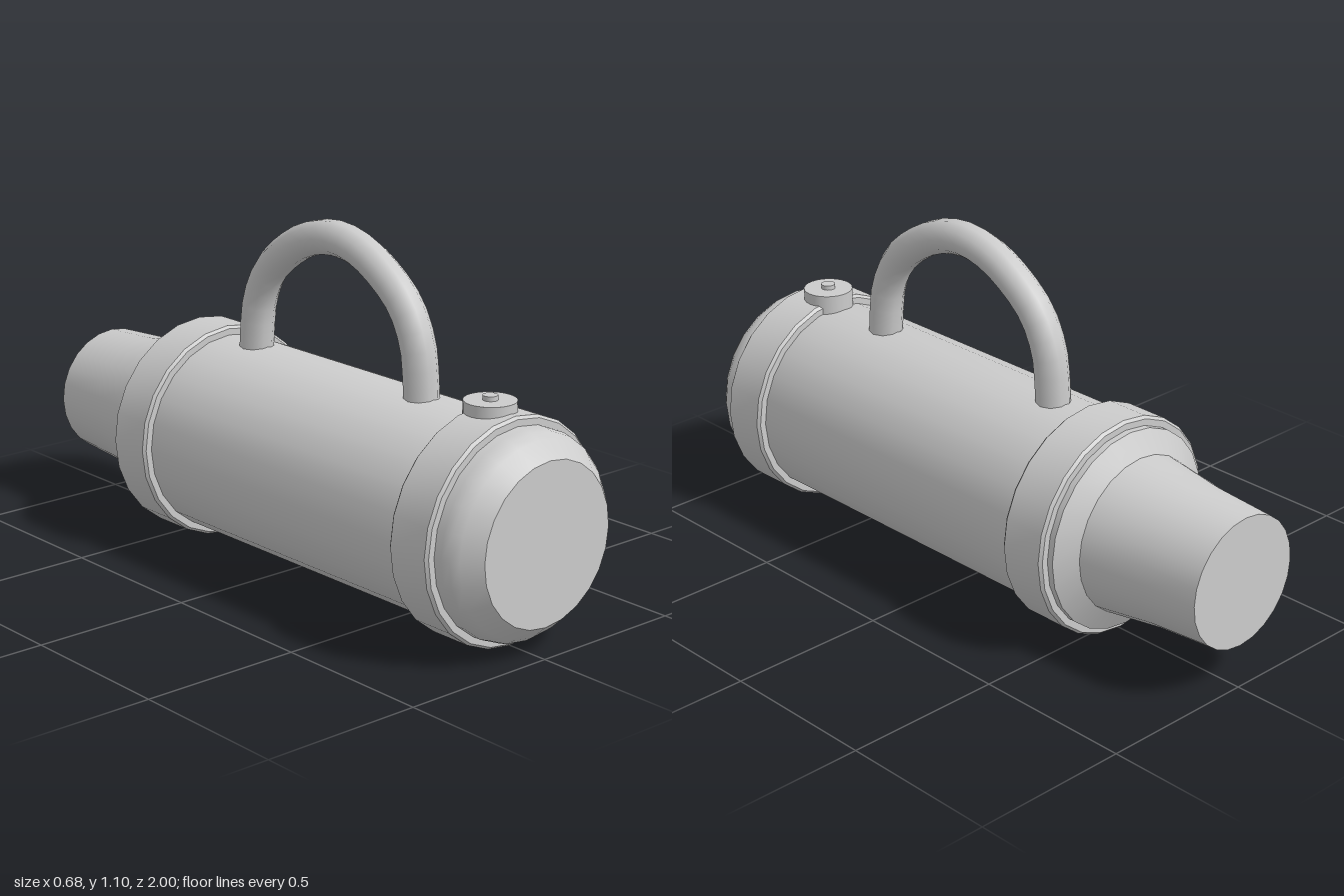
import * as THREE from 'three';
import { toCreasedNormals } from 'three/addons/utils/BufferGeometryUtils.js';

const AXIS_Y = 0.34; // height of the flask's long axis
const SIDES = 24;

export function createModel() {
  const group = new THREE.Group();
  const metal = new THREE.MeshStandardMaterial({ color: 0xcccccc });
  metal.name = 'grey metal';

  const add = (name, geometry) => {
    const mesh = new THREE.Mesh(geometry, metal);
    mesh.name = name;
    group.add(mesh);
    return mesh;
  };

  // Turned part lying along z; profile is [z, radius] from back to front
  const turned = (name, profile) => {
    const points = profile.map(([z, r]) => new THREE.Vector2(r, z));
    const geometry = new THREE.LatheGeometry(points, SIDES);
    geometry.rotateX(Math.PI / 2);
    geometry.translate(0, AXIS_Y, 0);
    return add(name, toCreasedNormals(geometry, 0.5));
  };

  // Main barrel with rounded front end and tapered rear shoulder
  turned('body', [
    [-0.6, 0], [-0.6, 0.243], [-0.56, 0.31], [0.9, 0.31], [0.927, 0.304],
    [0.95, 0.288], [1, 0.243], [1, 0],
  ]);

  // Tapered neck at the back
  turned('neck', [[-1, 0], [-1, 0.202], [-0.8, 0.215], [-0.595, 0.243], [-0.595, 0]]);

  // Raised bands with small bevels
  const band = (name, back, front) => turned(name, [
    [back, 0.305], [back, 0.33], [back + 0.009, 0.338],
    [front - 0.009, 0.338], [front, 0.33], [front, 0.305],
  ]);
  band('frontBand', 0.72, 0.873);
  band('rearBand', -0.54, -0.384);

  // Arched carrying handle
  const half = [[0.37, 0.62], [0.365, 0.7], [0.35, 0.8], [0.295, 0.905], [0.18, 0.995]];
  const path = [
    ...half.map(([d, y]) => new THREE.Vector3(0, y, 0.12 + d)),
    new THREE.Vector3(0, 1.047, 0.12),
    ...half.slice().reverse().map(([d, y]) => new THREE.Vector3(0, y, 0.12 - d)),
  ];
  // the centre arch point needs a slight shoulder on each side
  path.splice(5, 0, new THREE.Vector3(0, 1.034, 0.21));
  path.splice(7, 0, new THREE.Vector3(0, 1.034, 0.03));
  add('handle', new THREE.TubeGeometry(new THREE.CatmullRomCurve3(path), 24, 0.053, 10));

  // Button on the front band with a small centre pin
  const disc = (name, radius, bottom, top) => add(
    name, new THREE.CylinderGeometry(radius, radius, top - bottom, SIDES),
  ).position.set(0, (top + bottom) / 2, 0.765);
  disc('button', 0.077, 0.63, 0.703);
  disc('buttonPin', 0.022, 0.7, 0.717);

  return group;
}
